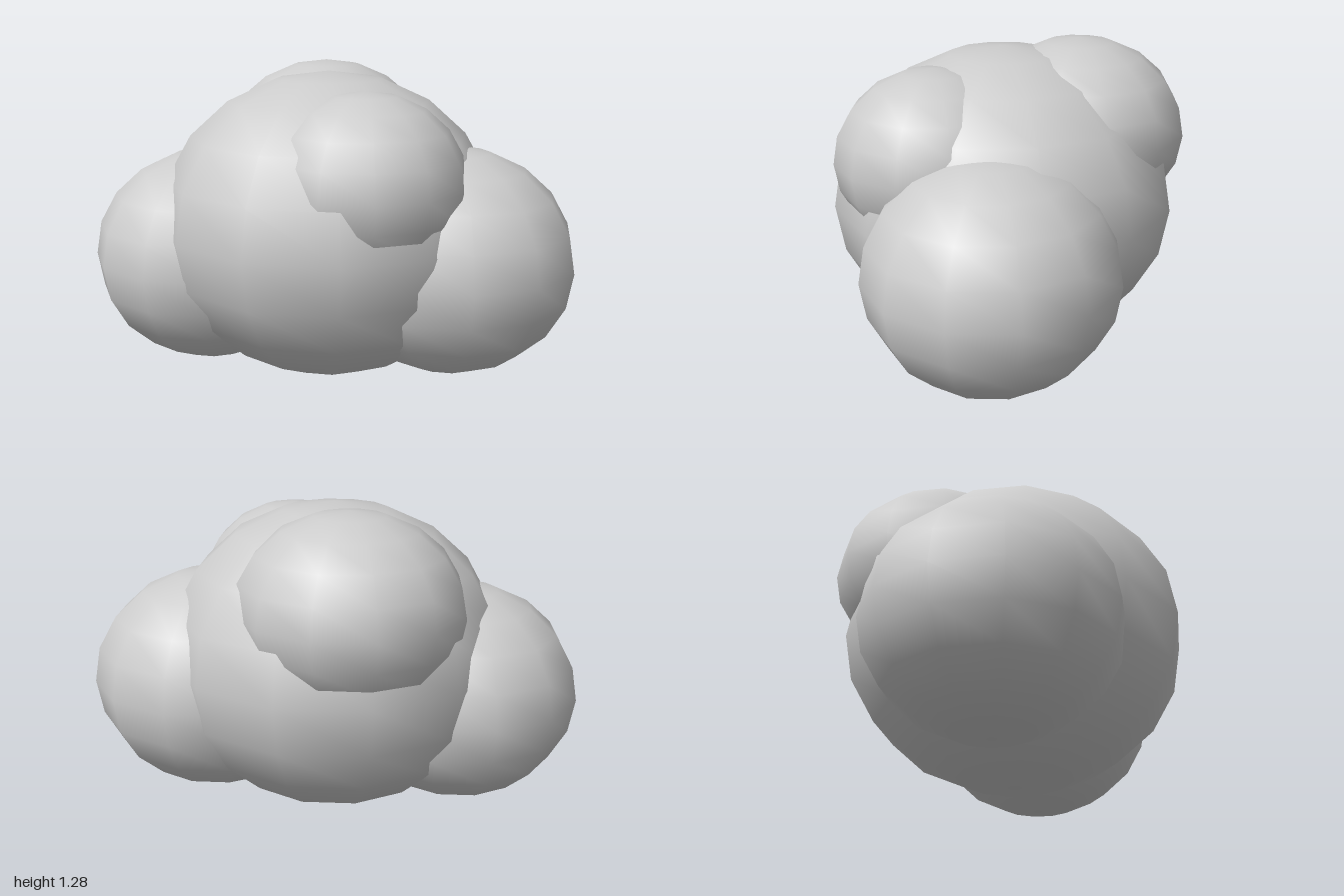
import * as THREE from 'three';

// Cloud puffs: name, centre, radii
const PUFFS = [
  ['mainPuff', [-0.01, 0.63, 0.005], [0.70, 0.63, 0.70]],
  ['leftPuff', [0.48, 0.505, -0.105], [0.52, 0.465, 0.50]],
  ['rightPuff', [-0.505, 0.475, 0.14], [0.495, 0.45, 0.495]],
  ['backTopPuff', [-0.16, 0.90, -0.27], [0.455, 0.38, 0.44]],
  ['frontTopPuff', [0.245, 0.85, 0.205], [0.40, 0.36, 0.40]],
];

export function createModel() {
  const group = new THREE.Group();
  group.name = 'cloud';

  const cloudGrey = new THREE.MeshStandardMaterial({ color: 0xcccccc });
  cloudGrey.name = 'cloudGrey';

  // One smooth, coarse sphere squashed into each puff
  const sphere = new THREE.SphereGeometry(1, 12, 10);
  for (const [name, centre, radii] of PUFFS) {
    const puff = new THREE.Mesh(sphere, cloudGrey);
    puff.name = name;
    puff.position.set(...centre);
    puff.scale.set(...radii);
    group.add(puff);
  }
  return group;
}
